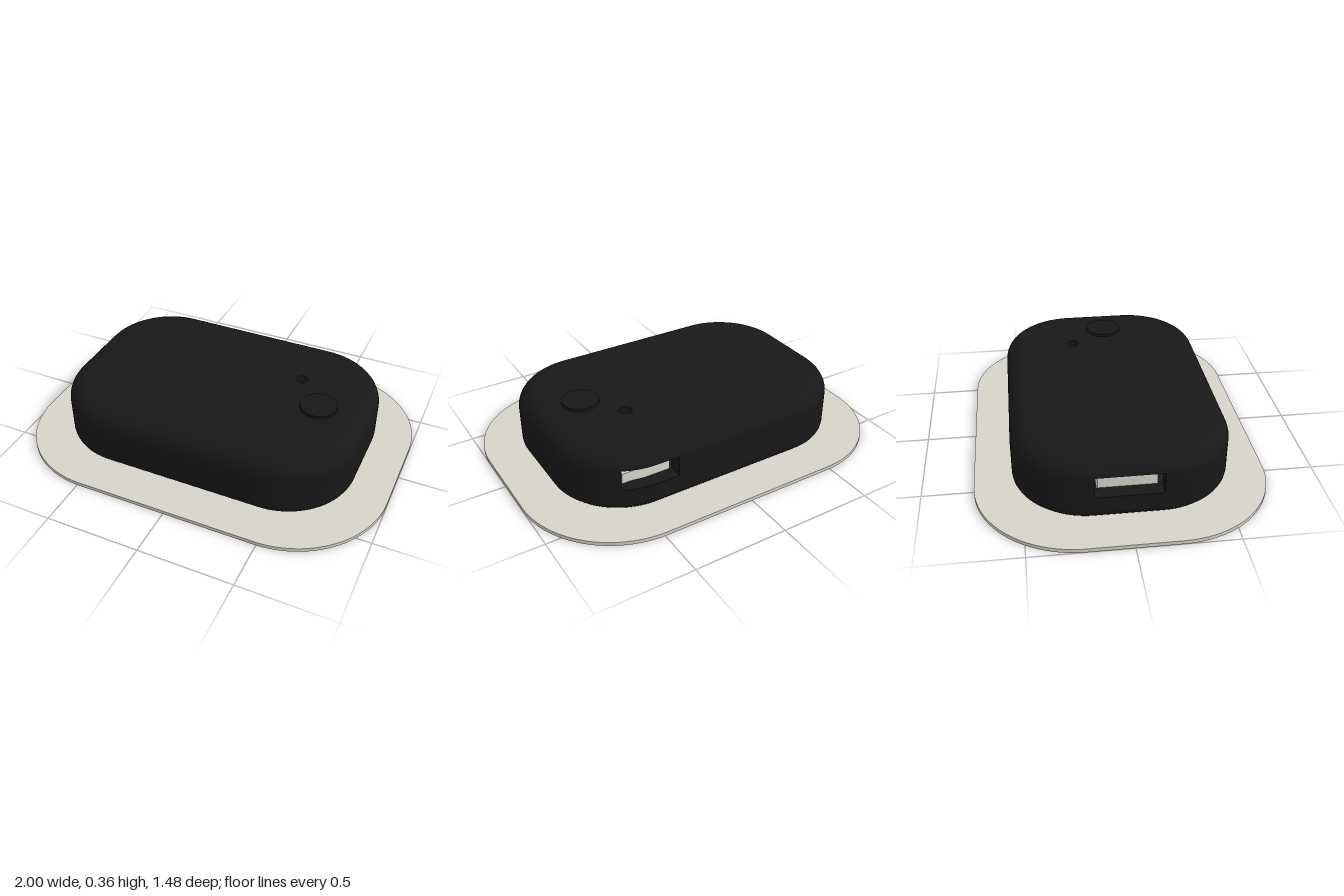
import * as THREE from 'three';

const mat = (name, color, side = THREE.FrontSide) => {
  const m = new THREE.MeshStandardMaterial({ color, side });
  m.name = name;
  return m;
};

// Rounded-rectangle outline: points with the angle of their outward normal.
// One extra point on the back edge marks where the rear port opening starts.
const HX = 0.805, HZ = 0.547, R = 0.38, STEPS = 20, PORT_X = 0.305;
function outline() {
  const pts = [];
  const signs = [[1, 1], [-1, 1], [-1, -1], [1, -1]];
  signs.forEach(([sx, sz], k) => {
    const cx = sx * (HX - R), cz = sz * (HZ - R);
    if (k === 3) pts.push({ x: PORT_X, z: -HZ, a: Math.PI * 1.5 });
    for (let i = 0; i <= STEPS; i++) {
      const a = (k + i / STEPS) * Math.PI / 2;
      pts.push({ x: cx + R * Math.cos(a), z: cz + R * Math.sin(a), a });
    }
  });
  return pts;
}

// Side profile: small fillet at the bottom, large fillet at the top
function profile() {
  const rows = [], y0 = 0.02, y1 = 0.343, rb = 0.05, rt = 0.1;
  for (let i = 0; i <= 5; i++) {
    const p = (i / 5 - 1) * Math.PI / 2;
    rows.push({ inset: rb * (1 - Math.cos(p)), y: y0 + rb + rb * Math.sin(p), p });
  }
  rows.push({ inset: 0, y: 0.15, p: 0 });
  for (let i = 0; i <= 9; i++) {
    const p = i * Math.PI / 18;
    rows.push({ inset: rt * (1 - Math.cos(p)), y: y1 - rt + rt * Math.sin(p), p });
  }
  return rows;
}

const ring = outline(), rows = profile(), N = ring.length;
const at = (i, j) => {
  const { x, z, a } = ring[i % N], { inset, y } = rows[j];
  return new THREE.Vector3(x - inset * Math.cos(a), y, z - inset * Math.sin(a));
};

// Openings as ranges of outline points; both use profile rows 6 to 8
const LOW = 6, HIGH = 8, CORNER = STEPS + 1;
const openings = [
  { name: 'rearPort', from: 3 * CORNER, to: 3 * CORNER + 7, inward: new THREE.Vector3(0, 0, 0.075) },
  { name: 'sidePort', from: 2 * CORNER - 1, to: 2 * CORNER, inward: new THREE.Vector3(0.075, 0, 0) },
];

function shellGeometry() {
  const pos = [], nor = [], idx = [];
  rows.forEach(({ p }, j) => ring.forEach(({ a }, i) => {
    pos.push(...at(i, j).toArray());
    nor.push(Math.cos(a) * Math.cos(p), Math.sin(p), Math.sin(a) * Math.cos(p));
  }));
  for (let j = 0; j < rows.length - 1; j++) {
    for (let i = 0; i < N; i++) {
      const open = j >= LOW && j < HIGH && openings.some(o => i >= o.from && i < o.to);
      if (open) continue;
      const k = (i + 1) % N;
      const a = j * N + i, b = j * N + k, c = b + N, d = a + N;
      idx.push(a, d, b, b, d, c);
    }
  }
  const g = new THREE.BufferGeometry();
  g.setAttribute('position', new THREE.Float32BufferAttribute(pos, 3));
  g.setAttribute('normal', new THREE.Float32BufferAttribute(nor, 3));
  g.setIndex(idx);
  return g;
}

// Walls running inward from the rim of an opening
function revealGeometry({ from, to, inward }) {
  const rim = [];
  for (let i = from; i <= to; i++) rim.push(at(i, LOW));
  rim.push(at(to, LOW + 1));
  for (let i = to; i >= from; i--) rim.push(at(i, HIGH));
  rim.push(at(from, LOW + 1));
  const pos = [];
  rim.forEach((a, i) => {
    const b = rim[(i + 1) % rim.length];
    const c = b.clone().add(inward), d = a.clone().add(inward);
    [a, b, d, b, c, d].forEach(v => pos.push(v.x, v.y, v.z));
  });
  const g = new THREE.BufferGeometry();
  g.setAttribute('position', new THREE.Float32BufferAttribute(pos, 3));
  g.computeVertexNormals();
  return g;
}

// Flat cap that closes a profile row, with an optional round hole
function capGeometry(row, hole) {
  const shape = new THREE.Shape(ring.map((_, i) => {
    const v = at(i, row);
    return new THREE.Vector2(v.x, -v.z);
  }));
  if (hole) {
    const path = new THREE.Path();
    path.absarc(hole.x, -hole.z, hole.r, 0, Math.PI * 2, true);
    shape.holes.push(path);
  }
  return new THREE.ShapeGeometry(shape, 24).rotateX(-Math.PI / 2).translate(0, rows[row].y, 0);
}

function plateGeometry(hx, hz, r, h) {
  const s = new THREE.Shape();
  s.absarc(hx - r, hz - r, r, 0, Math.PI / 2);
  s.absarc(r - hx, hz - r, r, Math.PI / 2, Math.PI);
  s.absarc(r - hx, r - hz, r, Math.PI, Math.PI * 1.5);
  s.absarc(hx - r, r - hz, r, Math.PI * 1.5, Math.PI * 2);
  return new THREE.ExtrudeGeometry(s, { depth: h, bevelEnabled: false, curveSegments: 24 })
    .rotateX(-Math.PI / 2);
}

export function createModel() {
  const model = new THREE.Group();
  model.name = 'padMountedDevice';
  const black = mat('blackCasing', 0x181818, THREE.DoubleSide);
  const beige = mat('beigePad', 0xd6d2c8);
  const pale = mat('paleMetal', 0xd8d6cc);
  const add = (name, geo, material, x = 0, y = 0, z = 0) => {
    const m = new THREE.Mesh(geo, material);
    m.name = name;
    m.position.set(x, y, z);
    model.add(m);
  };

  // Adhesive pad under the device
  add('basePad', plateGeometry(1, 0.74, 0.515, 0.02), beige);

  // Casing with its port openings
  const led = { x: 0.386, z: -0.164, r: 0.033 };
  add('casingShell', shellGeometry(), black);
  add('casingTop', capGeometry(rows.length - 1, led), black);
  add('casingFloor', capGeometry(0), black, 0, 0.004);
  openings.forEach(o => add(o.name + 'Walls', revealGeometry(o), black));

  // Connectors behind the openings
  add('rearConnector', new THREE.BoxGeometry(0.265, 0.1, 0.22), pale, 0.44, 0.155, -0.35);
  add('sideConnector', new THREE.BoxGeometry(0.22, 0.1, 0.29), pale, -0.615, 0.155, 0);

  // Indicator light at the bottom of a small round hole
  add('lightHoleWall', new THREE.CylinderGeometry(led.r, led.r, 0.073, 32, 1, true), black, led.x, 0.3065, led.z);
  add('lightHoleFloor', new THREE.CircleGeometry(led.r, 32).rotateX(-Math.PI / 2), black, led.x, 0.27, led.z);
  add('indicatorLight', new THREE.BoxGeometry(0.053, 0.008, 0.027), pale, led.x, 0.275, led.z);

  // Push button
  add('button', new THREE.CylinderGeometry(0.097, 0.097, 0.03, 48), black, 0.545, 0.343, 0.03);
  return model;
}
